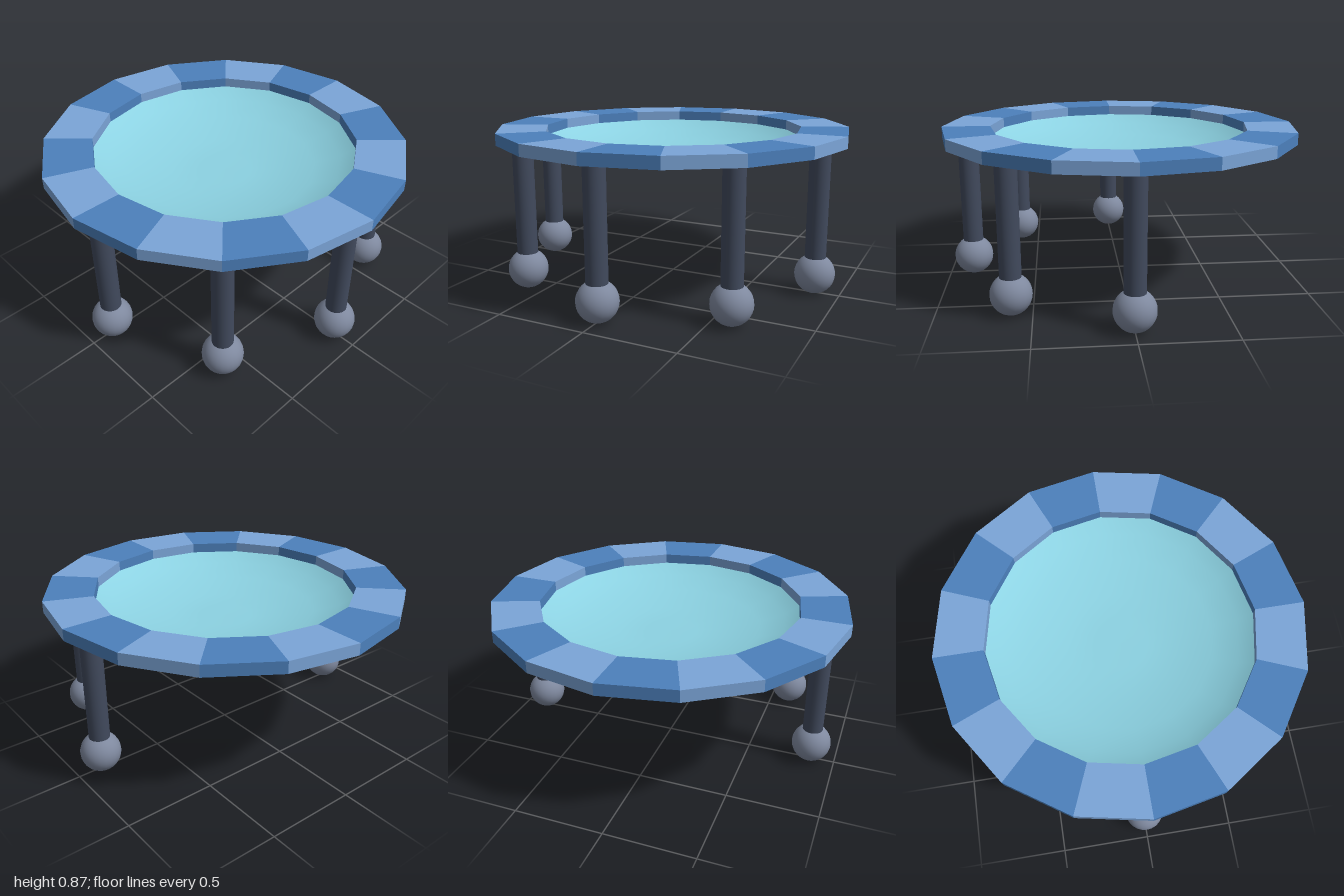
import * as THREE from 'three';

const material = (name, color) => Object.assign(new THREE.MeshStandardMaterial({ color }), { name });

// One straight-sided ring block between two angles, closed top, bottom and both walls
function ringSegment(a0, a1, inner, outer, bottom, height) {
  const p = (a, r) => new THREE.Vector2(r * Math.cos(a), r * Math.sin(a));
  const shape = new THREE.Shape([p(a0, inner), p(a0, outer), p(a1, outer), p(a1, inner)]);
  const geometry = new THREE.ExtrudeGeometry(shape, { depth: height, bevelEnabled: false });
  // shape y becomes +z, extrusion runs downwards from the top
  geometry.rotateX(Math.PI / 2);
  geometry.translate(0, bottom + height, 0);
  return geometry;
}

export function createModel() {
  const lightBlue = material('light blue', 0x7ba5d8);
  const darkBlue = material('dark blue', 0x4c80bc);
  const aqua = material('aqua', 0x8cd2e2);
  aqua.side = THREE.DoubleSide;
  const slate = material('slate', 0x414a5d);
  const grey = material('blue grey', 0x7f899f);

  const model = new THREE.Group();
  const add = (parent, name, geometry, mat, x = 0, y = 0, z = 0) => {
    const mesh = new THREE.Mesh(geometry, mat);
    mesh.name = name;
    mesh.position.set(x, y, z);
    parent.add(mesh);
  };

  // Sixteen-sided rim in alternating blues
  const rim = new THREE.Group();
  rim.name = 'rim';
  const sides = 16, step = (Math.PI * 2) / sides;
  for (let i = 0; i < sides; i++) {
    add(rim, 'rimSegment', ringSegment(i * step, (i + 1) * step, 0.73, 1, 0.812, 0.064),
      i % 2 ? darkBlue : lightBlue);
  }
  model.add(rim);

  // Shallow smooth bowl hung inside the rim
  const profile = [[0, 0.68], [0.15, 0.681], [0.3, 0.685], [0.51, 0.724], [0.65, 0.77], [0.73, 0.82]]
    .map(([r, y]) => new THREE.Vector2(r, y));
  add(model, 'bowl', new THREE.LatheGeometry(profile, sides), aqua);

  // Five ball-footed legs spread around the front half
  const legGeometry = new THREE.CylinderGeometry(0.057, 0.057, 0.64, 24);
  const footGeometry = new THREE.SphereGeometry(0.11, 24, 16);
  for (let i = 0; i < 5; i++) {
    const a = (i * Math.PI) / 4;
    const leg = new THREE.Group();
    leg.name = 'leg';
    leg.position.set(0.86 * Math.cos(a), 0, 0.86 * Math.sin(a));
    add(leg, 'post', legGeometry, slate, 0, 0.5, 0);
    add(leg, 'ballFoot', footGeometry, grey, 0, 0.113, 0);
    model.add(leg);
  }

  return model;
}
